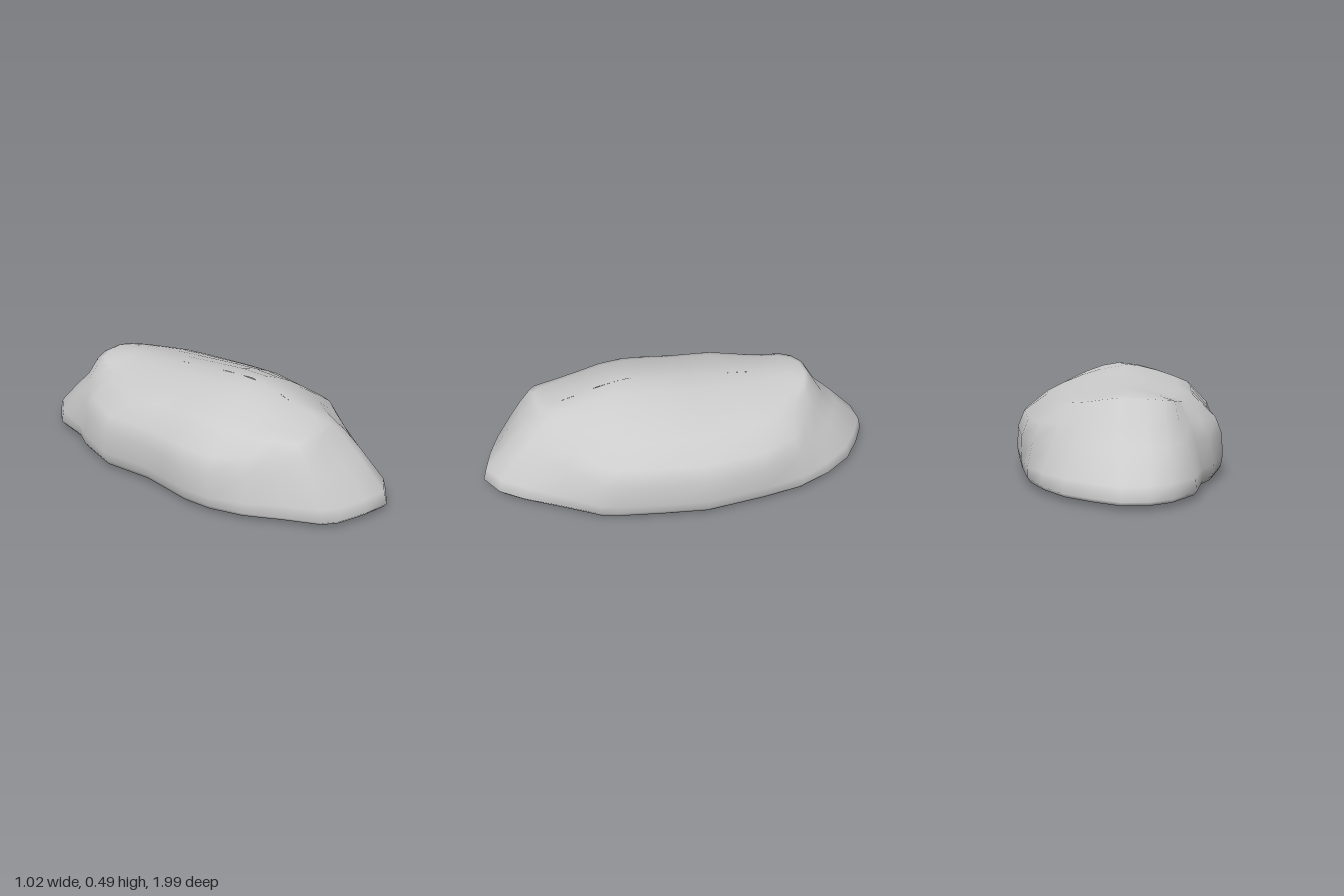
import * as THREE from 'three';

// Stations around the stone, clockwise from the back: foot x, z, then shoulder x, z, y
const STATIONS = [
  -0.1, -1, -0.1, -0.68, 0.42, 0.02, -1, 0.02, -0.68, 0.425,
  0.14, -0.93, 0.09, -0.66, 0.415, 0.26, -0.84, 0.16, -0.62, 0.4,
  0.36, -0.7, 0.23, -0.54, 0.385, 0.43, -0.55, 0.29, -0.44, 0.375,
  0.47, -0.35, 0.33, -0.3, 0.365, 0.51, -0.05, 0.36, -0.04, 0.36,
  0.49, 0.15, 0.36, 0.12, 0.36, 0.46, 0.38, 0.32, 0.3, 0.355,
  0.44, 0.46, 0.28, 0.38, 0.36, 0.34, 0.63, 0.2, 0.5, 0.36,
  0.24, 0.81, 0.12, 0.6, 0.36, 0.16, 0.92, 0.08, 0.66, 0.36,
  0.05, 0.99, 0.02, 0.7, 0.36, -0.08, 0.96, -0.08, 0.72, 0.365,
  -0.22, 0.91, -0.2, 0.72, 0.365, -0.28, 0.86, -0.25, 0.69, 0.36,
  -0.36, 0.7, -0.29, 0.58, 0.36, -0.45, 0.54, -0.33, 0.46, 0.365,
  -0.5, 0.38, -0.36, 0.34, 0.38, -0.51, 0.24, -0.37, 0.22, 0.39,
  -0.49, 0.1, -0.37, 0.08, 0.385, -0.47, -0.04, -0.36, -0.04, 0.38,
  -0.49, -0.3, -0.35, -0.25, 0.38, -0.42, -0.52, -0.28, -0.46, 0.38,
  -0.36, -0.62, -0.25, -0.54, 0.39, -0.31, -0.82, -0.23, -0.6, 0.4,
  -0.2, -0.95, -0.18, -0.65, 0.41,
];

// Height of the crown along the length: z, y
const CROWN = [[-0.69, 0.425], [-0.55, 0.44], [-0.37, 0.447], [-0.1, 0.467],
  [0.12, 0.487], [0.26, 0.49], [0.4, 0.46], [0.52, 0.42], [0.72, 0.365]];
const SPINE_X = -0.02;
const { lerp, smoothstep } = THREE.MathUtils;

function crownHeight(z) {
  let i = 1;
  while (i < CROWN.length - 1 && z > CROWN[i][0]) i++;
  const [z0, y0] = CROWN[i - 1], [z1, y1] = CROWN[i];
  return lerp(y0, y1, (z - z0) / (z1 - z0));
}

// One station's profile from the underside up to the spine
function profile(bx, bz, rx, rz, ry) {
  const side = 1 - smoothstep(Math.abs(bz), 0.35, 0.85); // 1 on the flanks, 0 at the ends
  const points = [
    [bx * 0.88, 0.012, bz * 0.94],
    [bx * 0.96, 0.022, bz * 0.985],
    [bx * lerp(1, 0.985, side), lerp(0.04, 0.045, side), bz],
  ];
  // Flanks bulge, ends slope straight to the shoulder
  const wall = [[0.06, 0.1, 0, 0.09], [0.5, 0.235, 0.03, 0.2], [0.77, 0.31, 0.25, 0.28], [1, ry, 1, ry]];
  for (const [endT, endY, sideT, sideY] of wall) {
    const t = lerp(endT, sideT, side);
    points.push([lerp(bx, rx, t), lerp(endY, sideY, side), lerp(bz, rz, t)]);
  }
  // Domed top
  const sz = rz * 0.85, sy = crownHeight(sz);
  for (const k of [0.2, 0.45, 0.72, 1]) {
    const rise = 1 - Math.pow(1 - k, 1.6);
    points.push([lerp(rx, SPINE_X, k), lerp(ry, sy, rise), lerp(rz, sz, k)]);
  }
  return points;
}

function stoneGeometry() {
  const columns = [];
  for (let i = 0; i < STATIONS.length; i += 5) columns.push(profile(...STATIONS.slice(i, i + 5)));
  const n = columns.length, rows = columns[0].length;
  const positions = [], index = [];
  for (let r = 0; r < rows; r++) for (const column of columns) positions.push(...column[r]);

  for (let r = 0; r < rows - 1; r++) {
    for (let j = 0; j < n; j++) {
      const a = r * n + j, b = r * n + (j + 1) % n;
      index.push(a, a + n, b, b, a + n, b + n);
    }
  }
  // Underside
  const centre = rows * n;
  positions.push(0, 0.003, 0.1);
  for (let j = 0; j < n; j++) index.push(centre, j, (j + 1) % n);

  const geometry = new THREE.BufferGeometry();
  geometry.setAttribute('position', new THREE.Float32BufferAttribute(positions, 3));
  geometry.setIndex(index);
  geometry.computeVertexNormals();

  // Blend the shading across the spine, where both flanks meet
  const normal = new THREE.Vector3();
  for (let j = 0; j < n; j++) {
    const v = (rows - 1) * n + j, z = positions[v * 3 + 2];
    const slope = (crownHeight(z + 0.06) - crownHeight(z - 0.06)) / 0.12;
    normal.set(0, 1, -slope).normalize();
    geometry.attributes.normal.setXYZ(v, normal.x, normal.y, normal.z);
  }
  return geometry;
}

export function createModel() {
  const model = new THREE.Group();
  model.name = 'stone';
  const body = new THREE.Mesh(stoneGeometry(), new THREE.MeshStandardMaterial({ color: 0xcccccc }));
  body.name = 'stoneBody';
  model.add(body);
  return model;
}
